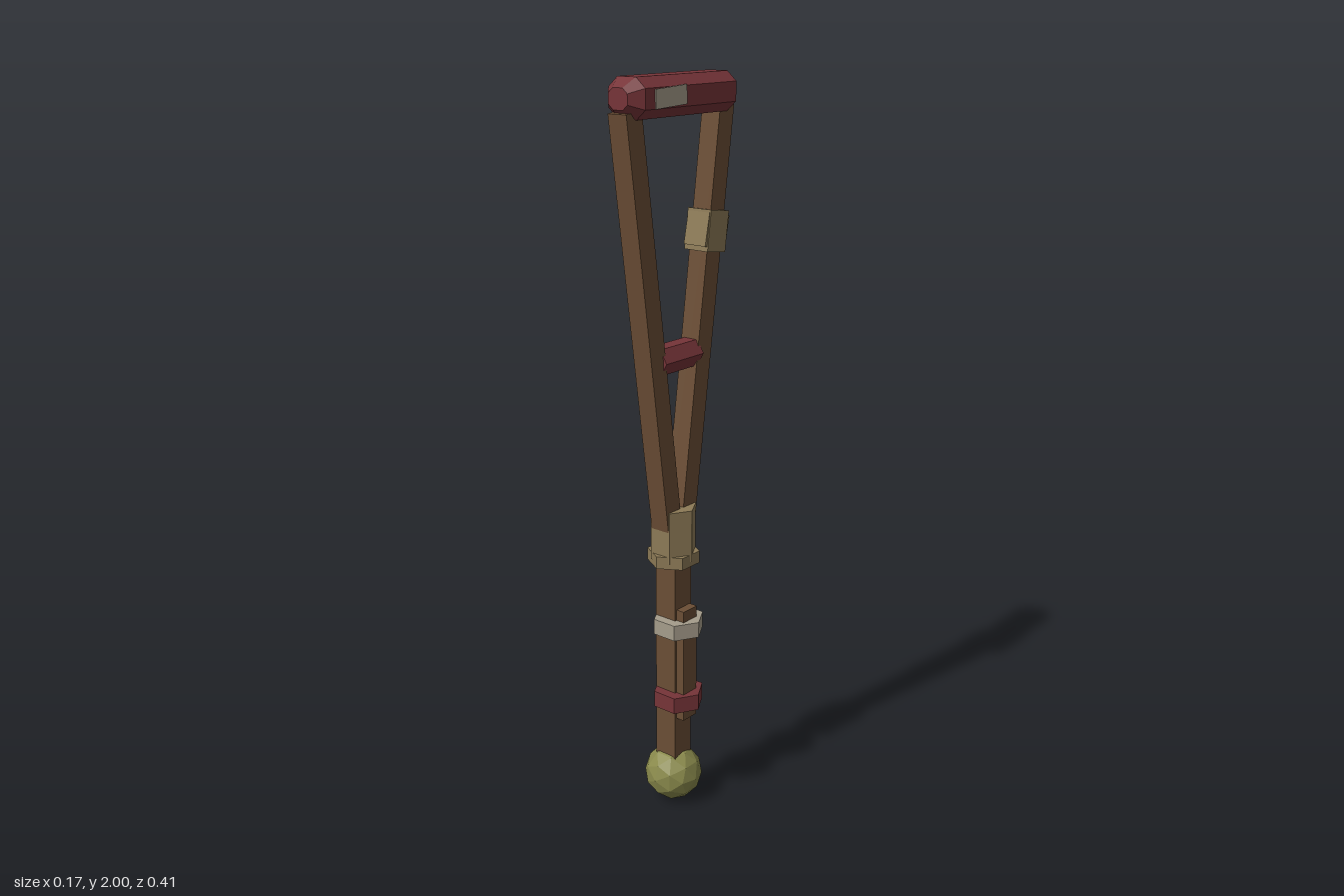
import * as THREE from 'three';

const mat = (name, color) => Object.assign(new THREE.MeshStandardMaterial({ color }), { name });

// Faceted normals for every part
function flat(geo) {
  const g = geo.index ? geo.toNonIndexed() : geo;
  g.computeVertexNormals();
  return g;
}

export function createModel() {
  const wood = mat('wood', 0x6b4e35);
  const red = mat('red leather', 0x763438);
  const tan = mat('tan cloth', 0x8c7a56);
  const grey = mat('grey cloth', 0xa59c8b);
  const olive = mat('olive rubber', 0x8a8a4c);

  const model = new THREE.Group();
  model.name = 'crutch';
  const CX = -0.007;

  function add(name, geo, material, x, y, z) {
    const m = new THREE.Mesh(flat(geo), material);
    m.name = name;
    m.position.set(x, y, z);
    model.add(m);
    return m;
  }
  const box = (w, h, d) => new THREE.BoxGeometry(w, h, d);
  // Hexagonal prism; corners point along x when turned
  const hex = (r, h, turned = true) => {
    const g = new THREE.CylinderGeometry(r, r, h, 6);
    return turned ? g.rotateY(Math.PI / 2) : g;
  };

  // Ball foot and shaft
  add('foot', new THREE.IcosahedronGeometry(0.081, 1), olive, CX, 0.08, 0);
  add('shaft', box(0.068, 0.74, 0.068), wood, CX, 0.49, 0);

  // Splint tied to the shaft with two bands
  add('splint', box(0.04, 0.33, 0.056), wood, 0.032, 0.435, 0);
  add('lowerBand', hex(0.071, 0.046), red, 0.011, 0.327, 0);
  add('upperBand', hex(0.071, 0.044), grey, 0.011, 0.547, 0);

  // Wrapping where the fork begins
  add('forkWrap', hex(0.064, 0.145), tan, CX, 0.813, 0);
  add('forkRing', hex(0.071, 0.034, false), tan, CX, 0.743, 0);

  // Two legs spreading towards the handle
  const low = [0.75, 0.016], high = [1.92, 0.178];
  const tilt = Math.atan2(high[1] - low[1], high[0] - low[0]);
  const length = Math.hypot(high[0] - low[0], high[1] - low[1]);
  for (const s of [1, -1]) {
    const leg = add(s > 0 ? 'frontLeg' : 'backLeg', box(0.058, length, 0.056), wood,
      CX, (low[0] + high[0]) / 2, s * (low[1] + high[1]) / 2);
    leg.rotation.x = s * tilt;
  }

  // Cloth wound around the back leg, in two slightly shifted layers
  add('legWrap', box(0.076, 0.106, 0.074), tan, CX, 1.605, -0.134).rotation.x = -tilt;
  add('legWrapLayer', box(0.07, 0.086, 0.084), tan, CX, 1.605, -0.134).rotation.x = -tilt - 0.07;

  // Hexagonal hand grip
  add('handGrip', hex(0.04, 0.15).rotateX(Math.PI / 2), red, CX, 1.296, 0);

  // Octagonal arm pad with tapered ends, lofted along z
  const section = [[1, 0.5], [0.5, 1], [-0.5, 1], [-1, 0.5], [-1, -0.5], [-0.5, -1], [0.5, -1], [1, -0.5]];
  const rings = [[-0.205, 0.52], [-0.173, 1], [0.173, 1], [0.205, 0.52]];
  const pos = [], idx = [];
  for (const [z, k] of rings) for (const [x, y] of section) pos.push(x * 0.0575 * k, y * 0.049 * k, z);
  for (let r = 0; r < 3; r++) {
    for (let i = 0; i < 8; i++) {
      const a = r * 8 + i, b = r * 8 + (i + 1) % 8;
      idx.push(a, b, b + 8, a, b + 8, a + 8);
    }
  }
  for (let i = 1; i < 7; i++) idx.push(0, i + 1, i, 24, 24 + i, 25 + i);
  const pad = new THREE.BufferGeometry();
  pad.setAttribute('position', new THREE.Float32BufferAttribute(pos, 3));
  // Reverse triangles if the loft is wound inwards
  const p = (i) => new THREE.Vector3().fromArray(pos, i * 3);
  const n = p(idx[1]).sub(p(idx[0])).cross(p(idx[2]).sub(p(idx[0])));
  if (n.dot(p(idx[0])) < 0) for (let i = 0; i < idx.length; i += 3) [idx[i], idx[i + 1]] = [idx[i + 1], idx[i]];
  pad.setIndex(idx);
  add('armPad', pad, red, -0.0045, 1.951, 0);

  // Patches on the sides of the pad
  add('leftPatch', box(0.008, 0.046, 0.115), grey, 0.052, 1.952, 0.081).rotation.x = 0.05;
  add('rightPatch', box(0.008, 0.044, 0.1), tan, -0.061, 1.951, -0.02).rotation.x = -0.05;

  return model;
}
